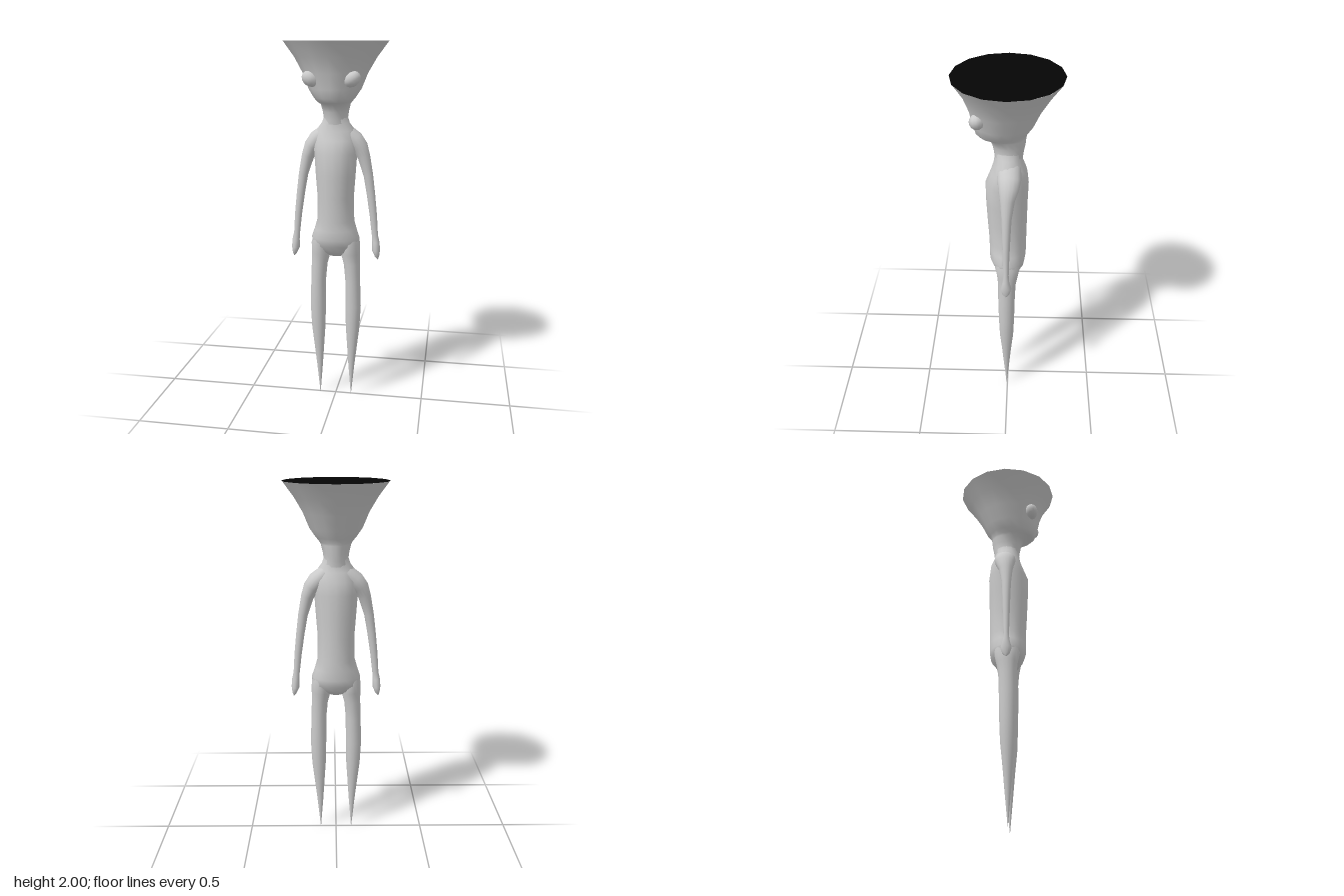
import * as THREE from 'three';

const skin = new THREE.MeshStandardMaterial({ color: 0xcccccc });
const dark = new THREE.MeshStandardMaterial({ color: 0x050505 });
const SIDES = 16;

// Smooth skin over elliptical rings [x, y, z, radius across path, radius in z], listed from top to bottom
function loft(name, rings) {
  const pos = [], index = [];
  rings.forEach(([x, y, z, r, rz], i) => {
    const a = rings[Math.max(i - 1, 0)], b = rings[Math.min(i + 1, rings.length - 1)];
    const d = new THREE.Vector2(b[0] - a[0], b[1] - a[1]).normalize();
    for (let j = 0; j < SIDES; j++) {
      const t = (j / SIDES) * Math.PI * 2, c = Math.cos(t) * r;
      pos.push(x - d.y * c, y + d.x * c, z + Math.sin(t) * rz);
      if (i === rings.length - 1) continue;
      const k = i * SIDES, n = (j + 1) % SIDES;
      index.push(k + j, k + n, k + SIDES + j, k + n, k + SIDES + n, k + SIDES + j);
    }
  });
  const geo = new THREE.BufferGeometry();
  geo.setAttribute('position', new THREE.Float32BufferAttribute(pos, 3));
  geo.setIndex(index);
  geo.computeVertexNormals();
  const mesh = new THREE.Mesh(geo, skin);
  mesh.name = name;
  return mesh;
}

// Upright body ring: height, half width, front z, back z
const upright = ([y, w, front, back]) => [0, y, (front + back) / 2, w, (front - back) / 2];

export function createModel() {
  const model = new THREE.Group();
  model.name = 'figure';

  // Flared head with a jutting chin, running into the neck
  model.add(loft('head', [
    [2.0, 0.277, 0.275, -0.277], [1.92, 0.218, 0.225, -0.22], [1.84, 0.172, 0.195, -0.172],
    [1.76, 0.14, 0.178, -0.135], [1.715, 0.11, 0.165, -0.105], [1.692, 0.09, 0.145, -0.095],
    [1.68, 0.08, 0.095, -0.092], [1.64, 0.07, 0.078, -0.088], [1.6, 0.064, 0.07, -0.08],
    [1.56, 0.075, 0.065, -0.075],
  ].map(upright)));

  // Flat dark top of the head
  const crown = new THREE.Mesh(new THREE.CircleGeometry(0.277, SIDES).rotateX(-Math.PI / 2), dark);
  crown.position.y = 2;
  crown.name = 'headTop';
  model.add(crown);

  // Torso from neck to crotch
  model.add(loft('torso', [
    [1.62, 0.062, 0.068, -0.078], [1.58, 0.075, 0.066, -0.074], [1.54, 0.105, 0.072, -0.08],
    [1.49, 0.122, 0.088, -0.1], [1.42, 0.117, 0.116, -0.108], [1.3, 0.109, 0.114, -0.104],
    [1.18, 0.1, 0.108, -0.102], [1.05, 0.103, 0.1, -0.1], [1.0, 0.117, 0.1, -0.1],
    [0.95, 0.134, 0.1, -0.098], [0.91, 0.13, 0.085, -0.092], [0.87, 0.09, 0.058, -0.06],
    [0.845, 0.04, 0.025, -0.025], [0.84, 0.002, 0.002, -0.002],
  ].map(upright)));

  for (const s of [1, -1]) {
    const side = s > 0 ? 'left' : 'right';
    const mirror = ([x, ...rest]) => [x * s, ...rest];

    // Sloping shoulder, thin arm and pointed hand
    model.add(loft(side + 'Arm', [
      [0.05, 1.53, -0.01, 0.045, 0.06], [0.1, 1.488, -0.01, 0.05, 0.06], [0.13, 1.45, -0.008, 0.045, 0.052],
      [0.153, 1.4, -0.002, 0.034, 0.038], [0.178, 1.3, 0.002, 0.026, 0.026], [0.193, 1.2, 0.003, 0.023, 0.022],
      [0.208, 1.08, 0.004, 0.02, 0.018], [0.218, 0.97, 0.004, 0.017, 0.015], [0.224, 0.93, 0.004, 0.02, 0.018],
      [0.226, 0.885, 0.004, 0.022, 0.03], [0.232, 0.85, 0.004, 0.012, 0.019], [0.236, 0.832, 0.004, 0.001, 0.001],
    ].map(mirror)));

    // Leg tapering to a point
    model.add(loft(side + 'Leg', [
      [0.08, 0.97, 0, 0.04, 0.06], [0.082, 0.92, 0, 0.053, 0.07], [0.083, 0.86, 0, 0.053, 0.058],
      [0.091, 0.8, 0.003, 0.045, 0.049], [0.097, 0.7, 0.005, 0.042, 0.047], [0.1, 0.55, 0.005, 0.044, 0.044],
      [0.098, 0.42, 0.005, 0.039, 0.039], [0.095, 0.3, 0.005, 0.028, 0.027], [0.092, 0.18, 0.005, 0.017, 0.017],
      [0.091, 0.08, 0.005, 0.008, 0.008], [0.09, 0, 0.005, 0.001, 0.001],
    ].map(mirror)));

    // Bulging eye, tilted up towards the temple
    const eye = new THREE.Mesh(new THREE.SphereGeometry(1, 12, 8), skin);
    eye.scale.set(0.047, 0.038, 0.038);
    eye.rotation.z = s * 0.6;
    eye.position.set(s * 0.107, 1.814, 0.144);
    eye.name = side + 'Eye';
    model.add(eye);
  }
  return model;
}
